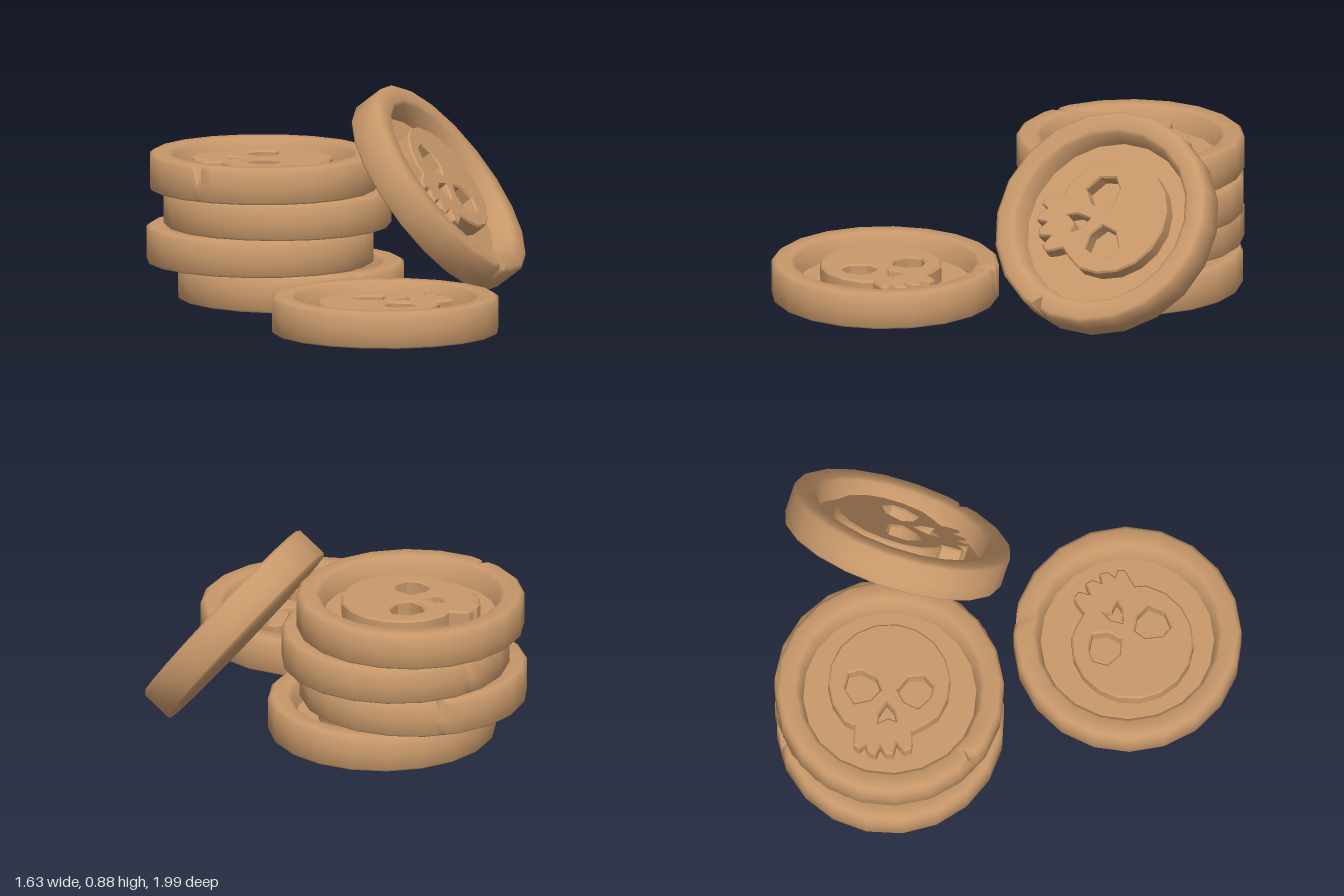
import * as THREE from 'three';
import { toCreasedNormals } from 'three/addons/utils/BufferGeometryUtils.js';

const RAD = Math.PI / 180;
const material = new THREE.MeshStandardMaterial({ color: 0xc8986a });
const vec2 = (pts) => pts.map(([x, y]) => new THREE.Vector2(x, y));

// Coin body: a 20-sided lathe with three extra columns that form a V-shaped chip in the rim
function coinBodyGeometry() {
  const profile = vec2([
    [0, 0], [0.478, 0], [0.484, 0.008], [0.484, 0.065], [0.484, 0.142], [0.468, 0.154],
    [0.402, 0.154], [0.386, 0.143], [0.368, 0.06], [0, 0.06],
  ]);
  const chip = { 4: [0.455, 0.115], 5: [0.425, 0.154] }; // pushed-in points of the chip's centre line
  const angles = [];
  for (let a = 0; a <= 360; a += 18) {
    angles.push(a);
    if (a === 36) angles.push(42, 45, 48);
  }
  const geometry = new THREE.LatheGeometry(profile, angles.length - 1);
  const pos = geometry.attributes.position;
  angles.forEach((a, i) => {
    const chord = a > 36 && a < 54 ? Math.cos(9 * RAD) / Math.cos((a - 45) * RAD) : 1;
    profile.forEach((p, j) => {
      const [r, y] = a === 45 && chip[j] ? chip[j] : [p.x, p.y];
      pos.setXYZ(i * profile.length + j, r * chord * Math.cos(a * RAD), y, -r * chord * Math.sin(a * RAD));
    });
  });
  return toCreasedNormals(geometry, 60 * RAD);
}

// Skull relief: round cranium, toothed jaw towards +x, holes for eyes and nose
function skullGeometry() {
  const jaw = [
    [0.157, -0.159], [0.199, -0.164], [0.241, -0.169], [0.262, -0.143], [0.241, -0.116], [0.278, -0.106],
    [0.294, -0.074], [0.252, -0.053], [0.289, -0.032], [0.294, 0], [0.241, 0.016], [0.284, 0.048],
    [0.273, 0.079], [0.236, 0.085], [0.194, 0.085], [0.167, 0.143],
  ];
  const cranium = [];
  for (let a = 50; a <= 310; a += 20) {
    cranium.push([-0.035 + 0.26 * Math.cos(a * RAD), 0.26 * Math.sin(a * RAD)]);
  }
  const shape = new THREE.Shape(vec2([...jaw, ...cranium]));
  const holes = [
    [[0.056, -0.153], [-0.013, -0.19], [-0.081, -0.17], [-0.092, -0.116], [-0.055, -0.053], [-0.002, -0.037], [0.045, -0.085]],
    [[0.093, 0.116], [0.061, 0.058], [0.003, 0.032], [-0.05, 0.079], [-0.055, 0.148], [-0.007, 0.185], [0.046, 0.169]],
    [[0.151, -0.058], [0.109, -0.053], [0.056, -0.016], [0.098, 0.016], [0.146, 0.021], [0.13, -0.016]],
  ];
  shape.holes = holes.map((h) => new THREE.Path(vec2(h)));
  const geometry = new THREE.ExtrudeGeometry(shape, {
    depth: 0.065, bevelThickness: 0.008, bevelSize: 0.007, bevelOffset: -0.007, bevelSegments: 1,
  });
  geometry.rotateX(-Math.PI / 2).translate(0, 0.057, 0);
  return toCreasedNormals(geometry, 40 * RAD);
}

export function createModel() {
  const model = new THREE.Group();
  model.name = 'coinPile';
  const bodyGeometry = coinBodyGeometry();
  const reliefGeometry = skullGeometry();

  function addCoin(name, x, y, z, turn = 0) {
    const coin = new THREE.Group();
    coin.name = name;
    const body = new THREE.Mesh(bodyGeometry, material);
    body.name = 'coinBody';
    const skull = new THREE.Mesh(reliefGeometry, material);
    skull.name = 'skullRelief';
    coin.add(body, skull);
    coin.position.set(x, y, z);
    coin.rotation.y = turn * RAD;
    model.add(coin);
    return coin;
  }

  // Stack of four, from the bottom up
  [
    [-0.205, -0.51, -108],
    [-0.338, -0.51, 57],
    [-0.262, -0.515, 83],
    [-0.325, -0.512, 180],
  ].forEach(([x, z, turn], i) => addCoin('stackedCoin' + (i + 1), x, i * 0.156, z, turn));

  // Coin lying flat in front
  addCoin('flatCoin', 0.035, 0.005, 0.515, 34);

  // Coin leaning against the stack
  const up = new THREE.Vector3(0.71, 0.615, 0.34).normalize();
  const side = new THREE.Vector3(-0.17, -0.33, 0.92);
  side.addScaledVector(up, -side.dot(up)).normalize();
  const front = new THREE.Vector3().crossVectors(side, up);
  const leaning = addCoin('leaningCoin', 0.42, 0.46, -0.44);
  leaning.quaternion.setFromRotationMatrix(new THREE.Matrix4().makeBasis(side, up, front));
  leaning.position.addScaledVector(up, -0.077);

  return model;
}
